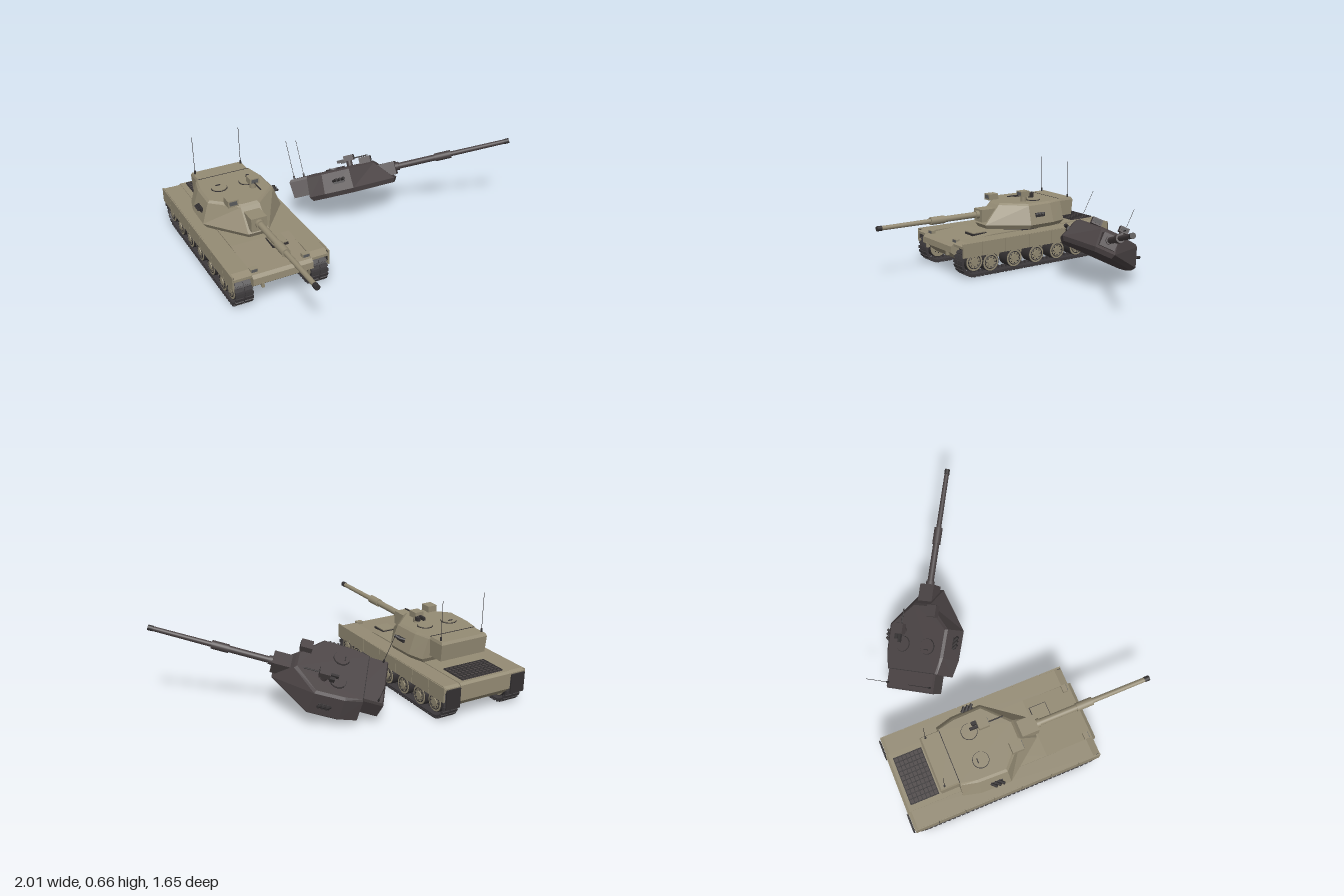
import * as THREE from 'three';

const mat = (name, color, double) => {
  const m = new THREE.MeshStandardMaterial({ color });
  m.name = name;
  if (double) m.side = THREE.DoubleSide;
  return m;
};

function add(parent, name, geometry, material, x = 0, y = 0, z = 0) {
  const m = new THREE.Mesh(geometry, material);
  m.name = name;
  m.position.set(x, y, z);
  parent.add(m);
  return m;
}
const box = (w, h, d) => new THREE.BoxGeometry(w, h, d);
// Cylinders lying along z, along x, or standing upright
const cylZ = (r, l, r2 = r, n = 20) => new THREE.CylinderGeometry(r2, r, l, n).rotateX(Math.PI / 2);
const cylX = (r, l, n = 24) => new THREE.CylinderGeometry(r, r, l, n).rotateZ(Math.PI / 2);
const cylY = (r, l, n = 24) => new THREE.CylinderGeometry(r, r, l, n);

// Extrudes a [z, y] side profile across a width centred on x = 0
function sideExtrude(shape, width) {
  const g = new THREE.ExtrudeGeometry(shape, { depth: width, bevelEnabled: false, curveSegments: 16 });
  return g.translate(0, 0, -width / 2).rotateY(-Math.PI / 2);
}
const profile = pts => new THREE.Shape(pts.map(p => new THREE.Vector2(...p)));

// Flat-faced loft through mirrored rings: { y, half: [[x, z], ...] } from front to back
function loft(rings) {
  const loops = rings.map(({ y, half }) => [
    ...half.map(([x, z]) => [x, y, z]),
    ...[...half].reverse().map(([x, z]) => [-x, y, z])]);
  const n = loops[0].length, top = loops[loops.length - 1], pos = [];
  const tri = (...p) => p.forEach(v => pos.push(...v));
  for (let k = 0; k + 1 < loops.length; k++) {
    for (let i = 0; i < n; i++) {
      const j = (i + 1) % n, lo = loops[k], hi = loops[k + 1];
      tri(lo[i], lo[j], hi[j]);
      tri(lo[i], hi[j], hi[i]);
    }
  }
  for (let i = 1; i + 1 < n; i++) {
    tri(top[0], top[i], top[i + 1]);
    tri(loops[0][0], loops[0][i + 1], loops[0][i]);
  }
  const g = new THREE.BufferGeometry();
  g.setAttribute('position', new THREE.Float32BufferAttribute(pos, 3));
  g.computeVertexNormals();
  return g;
}

function makeTurret(name, paint, dark, glass) {
  const t = new THREE.Group();
  t.name = name;
  // Faceted armour shell
  add(t, 'turretShell', loft([
    { y: 0.247, half: [[0.055, 0.05], [0.232, -0.18], [0.228, -0.36], [0.2, -0.46]] },
    { y: 0.275, half: [[0.065, 0.065], [0.252, -0.18], [0.247, -0.37], [0.22, -0.475]] },
    { y: 0.4, half: [[0.06, -0.045], [0.21, -0.19], [0.205, -0.37], [0.18, -0.475]] },
    { y: 0.413, half: [[0.05, -0.06], [0.195, -0.195], [0.19, -0.37], [0.17, -0.47]] },
  ]), paint);
  // Rear stowage bustle
  add(t, 'bustle', loft([
    { y: 0.29, half: [[0.165, -0.4], [0.165, -0.585]] },
    { y: 0.395, half: [[0.168, -0.4], [0.168, -0.595]] },
    { y: 0.412, half: [[0.162, -0.4], [0.162, -0.585]] },
  ]), paint);
  add(t, 'bustleSeam', box(0.33, 0.003, 0.004), dark, 0, 0.413, -0.472);
  // Gun and its mantlet
  add(t, 'mantlet', box(0.1, 0.085, 0.125), paint, 0, 0.336, 0.02);
  add(t, 'gunCollar', cylZ(0.027, 0.03), paint, 0, 0.342, 0.09);
  add(t, 'gunBase', cylZ(0.02, 0.26), paint, 0, 0.342, 0.22);
  add(t, 'boreEvacuator', cylZ(0.026, 0.105), paint, 0, 0.342, 0.398);
  add(t, 'barrel', cylZ(0.016, 0.37, 0.0145), paint, 0, 0.342, 0.62);
  add(t, 'muzzle', cylZ(0.0165, 0.032), dark, 0, 0.342, 0.815);
  // Roof hatches with dark seams
  for (const x of [-0.09, 0.09]) {
    add(t, 'hatchSeam', cylY(0.05, 0.006), dark, x, 0.414, -0.31);
    add(t, 'hatch', cylY(0.047, 0.012), paint, x, 0.416, -0.31);
  }
  add(t, 'hatchHandle', box(0.03, 0.006, 0.006), dark, -0.09, 0.424, -0.33);
  // Gunner's sight
  add(t, 'gunnerSight', box(0.065, 0.042, 0.072), paint, -0.1, 0.431, -0.09);
  add(t, 'gunnerSightWindow', box(0.046, 0.024, 0.004), glass, -0.1, 0.433, -0.053);
  // Commander's sight with machine gun
  add(t, 'sightPost', cylY(0.02, 0.04), paint, 0.095, 0.43, -0.225);
  add(t, 'commanderSight', box(0.06, 0.038, 0.065), paint, 0.095, 0.466, -0.222);
  add(t, 'commanderSightWindow', box(0.042, 0.022, 0.004), glass, 0.095, 0.468, -0.189);
  add(t, 'machineGunBody', box(0.016, 0.02, 0.08), dark, 0.092, 0.455, -0.265);
  add(t, 'machineGunBarrel', cylZ(0.004, 0.13, 0.004, 8), dark, 0.092, 0.458, -0.16);
  add(t, 'ammunitionBox', box(0.022, 0.024, 0.03), dark, 0.118, 0.45, -0.27);
  for (const s of [-1, 1]) {
    // Smoke launchers
    add(t, 'launcherBracket', box(0.014, 0.026, 0.07), dark, s * 0.234, 0.336, -0.265);
    for (let i = 0; i < 3; i++) {
      const tube = add(t, 'smokeLauncher', cylZ(0.009, 0.04, 0.009, 10), dark,
        s * 0.244, 0.346, -0.24 - i * 0.024);
      tube.rotation.set(-0.3, s * 0.8, 0);
    }
    // Whip antennas
    add(t, 'antennaBase', cylY(0.006, 0.024, 10), dark, s * 0.152, 0.422, -0.56);
    add(t, 'antenna', cylY(0.0015, 0.24, 6), dark, s * 0.152, 0.543, -0.56);
  }
  return t;
}

function makeWheel(name, r, paint, dark) {
  const w = new THREE.Group();
  w.name = name;
  add(w, 'tyre', cylX(r, 0.088), dark);
  add(w, 'rim', cylX(r * 0.93, 0.094), paint);
  add(w, 'rimGroove', new THREE.TorusGeometry(r * 0.7, 0.003, 6, 24).rotateY(Math.PI / 2), dark, 0.047);
  add(w, 'hub', cylX(r * 0.36, 0.106, 16), paint);
  for (let i = 0; i < 8; i++) {
    const a = i * Math.PI / 4;
    add(w, 'bolt', cylX(0.0045, 0.098, 6), dark, 0, Math.cos(a) * r * 0.52, Math.sin(a) * r * 0.52);
  }
  return w;
}

// Stadium outline of the track run in [z, y]
const TRACK = { front: 0.29, rear: -0.7, y: 0.1 };
function stadium(r, C) {
  const s = new C();
  s.absarc(TRACK.front, TRACK.y, r, -Math.PI / 2, Math.PI / 2, false);
  s.absarc(TRACK.rear, TRACK.y, r, Math.PI / 2, Math.PI * 1.5, false);
  s.closePath();
  return s;
}

function makeRunningGear(side, paint, dark, trackMat) {
  const g = new THREE.Group();
  g.name = side > 0 ? 'leftRunningGear' : 'rightRunningGear';
  const band = stadium(0.092, THREE.Shape);
  band.holes.push(stadium(0.08, THREE.Path));
  add(g, 'trackBand', sideExtrude(band, 0.1), trackMat);
  // Pads and guide teeth follow the run
  const run = stadium(0.093, THREE.Path), count = 84;
  const pad = box(0.049, 0.012, 0.02), tooth = box(0.014, 0.022, 0.01);
  for (let i = 0; i < count; i++) {
    const p = run.getPointAt(i / count), d = run.getTangentAt(i / count);
    const link = new THREE.Group();
    link.name = 'trackLink';
    link.position.set(0, p.y, p.x);
    link.rotation.x = -Math.atan2(d.y, d.x);
    for (const s of [-1, 1]) add(link, 'trackPad', pad, trackMat, s * 0.029);
    add(link, 'guideTooth', tooth, trackMat, 0, 0.02);
    g.add(link);
  }
  // Idler, road wheels, sprocket
  for (const z of [0.165, -0.02, -0.2, -0.375, -0.545]) {
    const w = makeWheel('roadWheel', 0.062, paint, dark);
    w.position.set(0, 0.082, z);
    g.add(w);
  }
  for (const [name, z] of [['idlerWheel', TRACK.front], ['driveSprocket', TRACK.rear]]) {
    const w = makeWheel(name, 0.064, paint, dark);
    w.position.set(0, 0.102, z);
    g.add(w);
  }
  for (const c of g.children) if (side < 0 && c.isGroup) c.rotation.y = c.name === 'trackLink' ? 0 : Math.PI;
  g.position.x = side * 0.234;
  return g;
}

export function createModel() {
  const tan = mat('tanPaint', 0x948b74), charcoal = mat('charredPaint', 0x484142);
  const dark = mat('darkMetal', 0x343132), rubber = mat('trackRubber', 0x3c393b);
  const glass = mat('sightGlass', 0x5a5b5c), grilleMat = mat('grille', 0x4a4444);
  const model = new THREE.Group();
  model.name = 'tankWithBlownTurret';

  const tank = new THREE.Group();
  tank.name = 'tank';
  tank.position.x = -0.7;
  model.add(tank);

  // Hull with sloping nose
  add(tank, 'hull', sideExtrude(profile([
    [0.3, 0.08], [0.408, 0.16], [0.405, 0.2], [0.385, 0.216], [0.08, 0.24],
    [-0.8, 0.24], [-0.815, 0.228], [-0.815, 0.13], [-0.76, 0.08]]), 0.37), tan);
  add(tank, 'turretRing', cylY(0.2, 0.025, 32), dark, 0, 0.24, -0.22);
  for (const s of [-1, 1]) {
    // Fenders over the tracks
    add(tank, 'fender', sideExtrude(profile([
      [0.385, 0.2], [0.385, 0.216], [0.34, 0.232], [-0.79, 0.237], [-0.81, 0.225], [-0.81, 0.2]]), 0.112),
      tan, s * 0.238);
    // Side skirt panels
    const cuts = [0.385, 0.24, 0.06, -0.13, -0.31, -0.49, -0.66, -0.81];
    add(tank, 'skirtBacking', box(0.006, 0.06, 1.18), dark, s * 0.29, 0.195, -0.212);
    for (let i = 0; i + 1 < cuts.length; i++) {
      const len = cuts[i] - cuts[i + 1] - 0.004;
      add(tank, 'skirtPanel', box(0.01, 0.092, len), tan, s * 0.295, 0.187, (cuts[i] + cuts[i + 1]) / 2);
    }
    // Mud flaps, headlights and tail lights
    add(tank, 'mudFlap', box(0.1, 0.125, 0.009), dark, s * 0.238, 0.157, -0.818);
    add(tank, 'headlight', box(0.045, 0.024, 0.03), tan, s * 0.16, 0.227, 0.35);
    add(tank, 'headlightLens', box(0.036, 0.016, 0.004), glass, s * 0.16, 0.228, 0.366);
    add(tank, 'towHook', box(0.016, 0.03, 0.02), tan, s * 0.13, 0.15, 0.402);
    tank.add(makeRunningGear(s, tan, dark, rubber));
  }
  // Driver's hatch
  add(tank, 'driverHatchSeam', box(0.1, 0.02, 0.108), dark, 0.076, 0.234, 0.15);
  add(tank, 'driverHatch', box(0.092, 0.024, 0.1), tan, 0.076, 0.238, 0.15);
  // Engine grille with raised lattice
  add(tank, 'engineGrille', box(0.3, 0.008, 0.18), grilleMat, 0, 0.241, -0.69);
  for (let i = 0; i < 11; i++) add(tank, 'grilleBar', box(0.005, 0.005, 0.18), dark, -0.147 + i * 0.0294, 0.246, -0.69);
  for (let i = 0; i < 8; i++) add(tank, 'grilleSlat', box(0.3, 0.005, 0.005), dark, 0, 0.246, -0.777 + i * 0.025);

  tank.add(makeTurret('turret', tan, dark, glass));

  // Burnt turret lying tilted on the ground beside the tank
  const wreck = makeTurret('burntTurret', charcoal, dark, dark);
  const f = new THREE.Vector3(0.827, 0.266, 0.496).normalize();
  const s = new THREE.Vector3(0.012, 0.868, -0.486).cross(f).normalize();
  const u = f.clone().cross(s);
  wreck.quaternion.setFromRotationMatrix(new THREE.Matrix4().makeBasis(s, u, f));
  wreck.position.set(0.305, 0.012, -0.048);
  model.add(wreck);
  return model;
}
